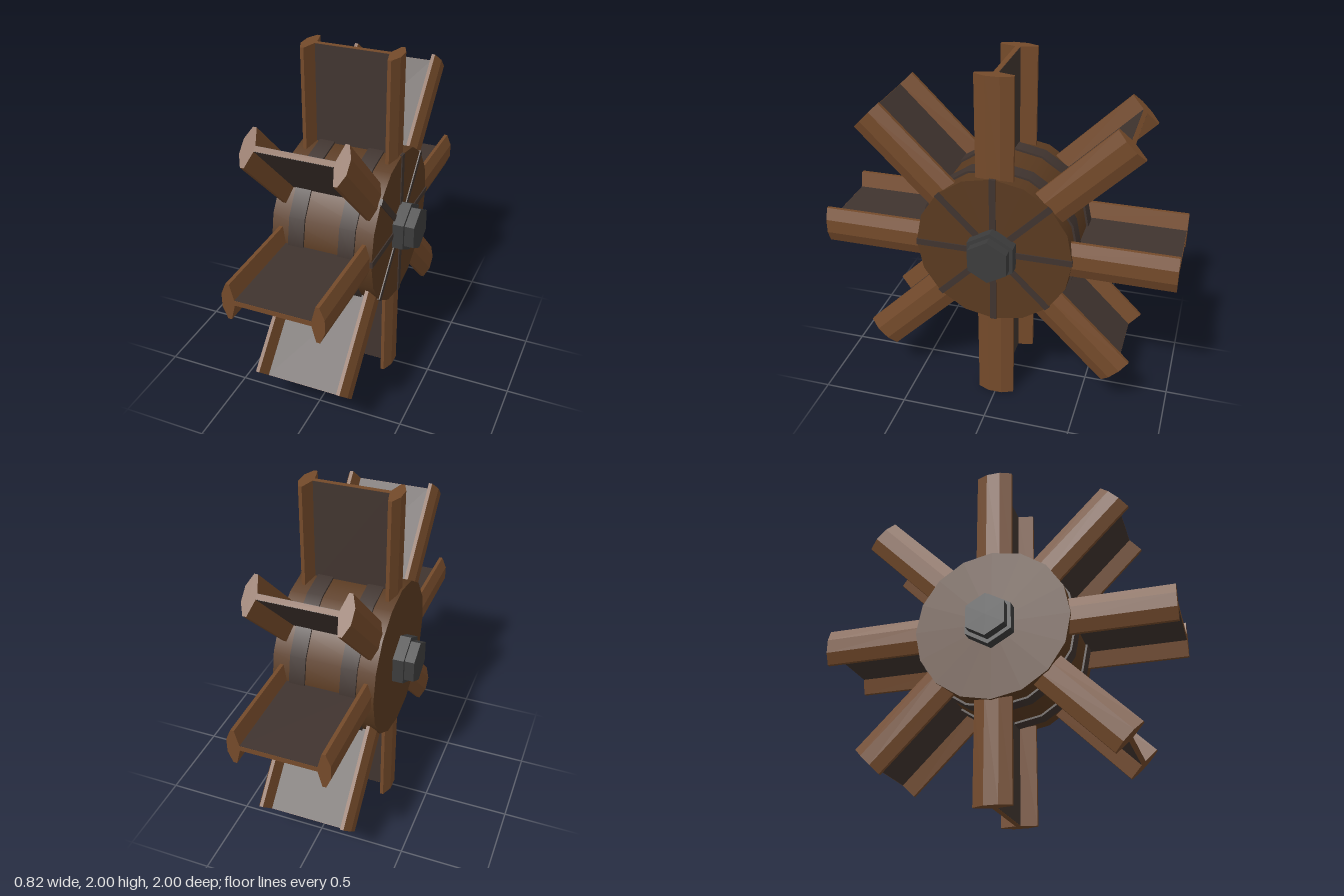
import * as THREE from 'three';

const paint = (color, flatShading = false) => new THREE.MeshStandardMaterial({ color, flatShading });
const bladeWood = paint(0x744a2a, true);
const hubWood = paint(0x5a3a20);
const darkWood = paint(0x40342f);
const iron = paint(0x3c3c3c, true);

const BLADES = 8;
const HUB_R = 0.443;

function add(parent, name, geometry, material) {
  const mesh = new THREE.Mesh(geometry, material);
  mesh.name = name;
  parent.add(mesh);
  return mesh;
}

// Cylinder lying along x, with a corner pointing straight up
function axle(radius, length, sides, x) {
  return new THREE.CylinderGeometry(radius, radius, length, sides)
    .rotateY(Math.PI / 2 - Math.PI * 2 / sides * Math.floor(sides / 4))
    .rotateZ(Math.PI / 2)
    .translate(x, 0, 0);
}

// Bevelled rail running up y, for the side s = 1 or -1
function railGeometry(s) {
  const half = [[0.207, 0.015], [0.23, 0.105], [0.25, 0.105], [0.277, 0.04]];
  const points = [...half, ...half.map(([x, z]) => [x, -z]).reverse()]
    .map(([x, z]) => new THREE.Vector2(x * s, z));
  return new THREE.ExtrudeGeometry(new THREE.Shape(points), { depth: 0.6, bevelEnabled: false })
    .rotateX(-Math.PI / 2)
    .translate(0, 0.4, 0);
}

function createBlade() {
  const blade = new THREE.Group();
  blade.name = 'blade';
  for (const s of [-1, 1]) add(blade, 'bladeRail', railGeometry(s), bladeWood);
  // Brown board edge with darker faces
  add(blade, 'bladeBoard', new THREE.BoxGeometry(0.42, 0.6, 0.028).translate(0, 0.7, 0), bladeWood);
  add(blade, 'bladePanel', new THREE.BoxGeometry(0.415, 0.598, 0.031).translate(0, 0.699, 0), darkWood);
  return blade;
}

export function createModel() {
  const model = new THREE.Group();
  model.name = 'paddleWheel';
  const wheel = new THREE.Group();
  wheel.name = 'wheel';
  wheel.position.y = 1;
  model.add(wheel);

  // Hub drum with two raised bands
  add(wheel, 'hub', axle(HUB_R, 0.58, 16, 0), hubWood);
  for (const s of [-1, 1]) {
    add(wheel, 'hubBand', axle(0.455, 0.09, 16, s * 0.145), darkWood);
    // Stepped hexagonal axle nut
    add(wheel, 'axleNut', axle(0.15, 0.08, 6, s * 0.313), iron);
    add(wheel, 'axleCap', axle(0.126, 0.08, 6, s * 0.368), iron);
  }

  for (let i = 0; i < BLADES; i++) {
    const angle = i / BLADES * Math.PI * 2;
    const blade = createBlade();
    blade.rotation.x = angle;
    wheel.add(blade);
    // Radial strips on the left hub face only
    const strip = add(wheel, 'hubStrip',
      new THREE.BoxGeometry(0.015, HUB_R - 0.05, 0.036).translate(0.289, (HUB_R + 0.05) / 2, 0), darkWood);
    strip.rotation.x = angle;
  }
  return model;
}
